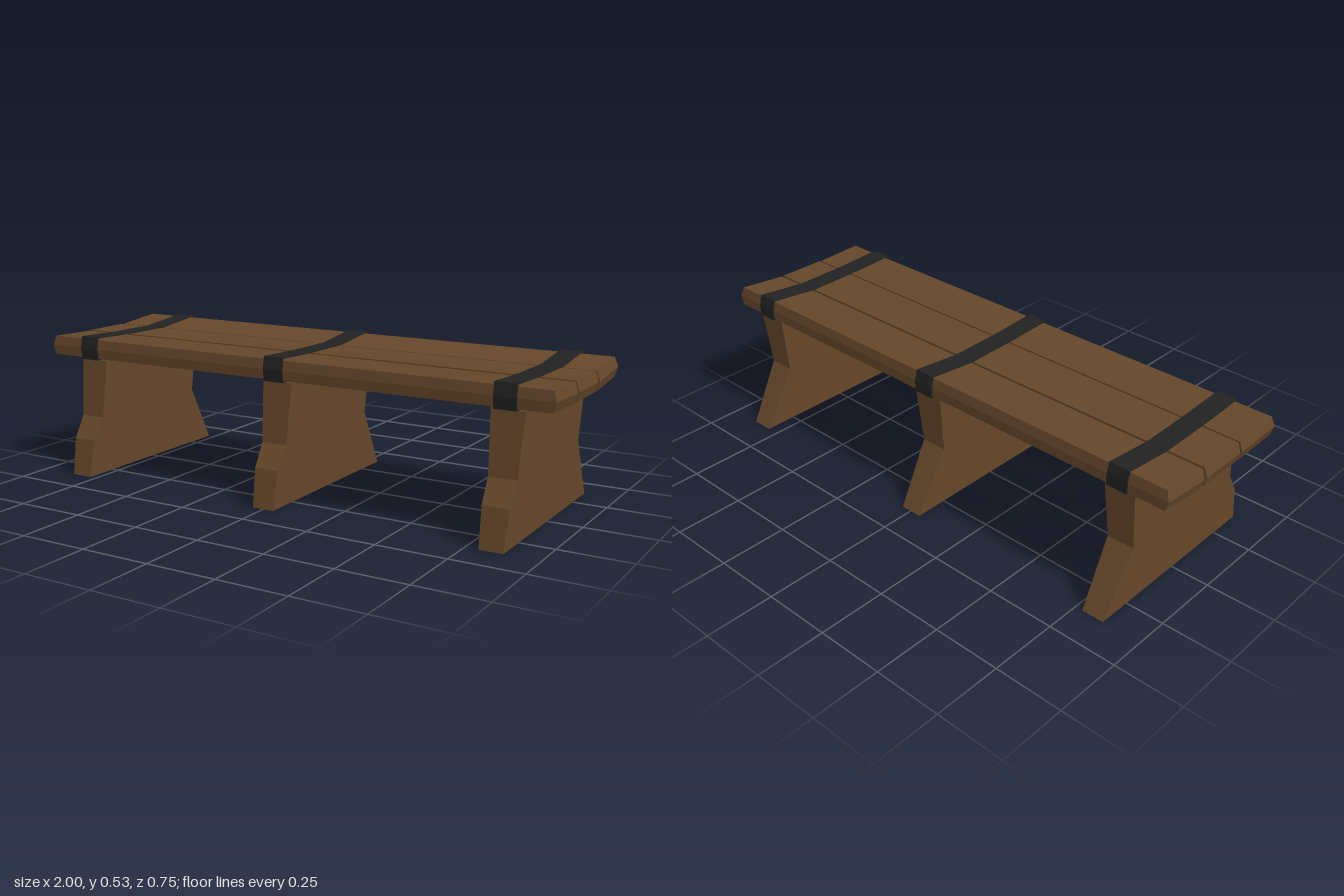
import * as THREE from 'three';

const wood = new THREE.MeshStandardMaterial({ color: 0x65472a, flatShading: true });
const iron = new THREE.MeshStandardMaterial({ color: 0x222222, flatShading: true });

// Extrude a (z, y) profile along x, centred on x = 0
function extrudeAlongX(points, width, hole) {
  const toV = (p) => new THREE.Vector2(p[0], p[1]);
  const shape = new THREE.Shape(points.map(toV));
  if (hole) shape.holes.push(new THREE.Path(hole.map(toV)));
  const geo = new THREE.ExtrudeGeometry(shape, { depth: width, bevelEnabled: false });
  geo.translate(0, 0, -width / 2);
  geo.rotateY(-Math.PI / 2);
  return geo;
}

// Seat board whose ends and outer long edge bulge at mid height
function plankGeometry(depth, outer) {
  const geo = new THREE.BoxGeometry(1.978, 0.07, depth, 1, 2, 1);
  const p = geo.attributes.position;
  for (let i = 0; i < p.count; i++) {
    if (Math.abs(p.getY(i)) > 0.001) continue;
    p.setX(i, p.getX(i) + 0.011 * Math.sign(p.getX(i)));
    if (p.getZ(i) * outer > 0) p.setZ(i, p.getZ(i) + 0.004 * outer);
  }
  geo.computeVertexNormals();
  return geo;
}

// Slab leg, wider at the top than at the foot
function legGeometry() {
  const geo = extrudeAlongX([
    [0.375, 0], [0.35, 0.135], [0.3, 0.215], [0.277, 0.428], [0, 0.424],
    [-0.09, 0.431], [-0.275, 0.449], [-0.25, 0.225], [-0.373, 0],
  ], 1);
  const p = geo.attributes.position;
  for (let i = 0; i < p.count; i++) {
    p.setX(i, p.getX(i) * (0.082 + 0.033 * p.getY(i) / 0.44));
  }
  geo.computeVertexNormals();
  return geo;
}

// Thin metal strap wrapped around the three boards
function strapGeometry() {
  const outer = [
    [0.303, 0.431], [0.309, 0.474], [0.301, 0.517], [0.105, 0.509], [-0.092, 0.507],
    [-0.286, 0.528], [-0.295, 0.489], [-0.295, 0.449], [-0.09, 0.43], [0, 0.426],
  ];
  const inner = [
    [0.298, 0.434], [0.303, 0.474], [0.296, 0.513], [0.105, 0.506], [-0.092, 0.504],
    [-0.281, 0.524], [-0.289, 0.489], [-0.289, 0.452], [-0.09, 0.433], [0, 0.429],
  ];
  return extrudeAlongX(outer, 0.076, inner);
}

export function createModel() {
  const group = new THREE.Group();
  const add = (name, geo, material, x, y, z, tilt = 0) => {
    const mesh = new THREE.Mesh(geo, material);
    mesh.name = name;
    mesh.position.set(x, y, z);
    mesh.rotation.x = tilt;
    group.add(mesh);
  };

  // Seat boards
  add('frontPlank', plankGeometry(0.187, 1), wood, 0, 0.469, 0.204, -0.032);
  add('middlePlank', plankGeometry(0.186, 0), wood, 0, 0.468, 0.007);
  add('backPlank', plankGeometry(0.186, -1), wood, 0, 0.4765, -0.191, 0.098);

  // Three legs, each with a strap above it
  const leg = legGeometry();
  const strap = strapGeometry();
  for (const x of [-0.818, -0.002, 0.837]) {
    add('leg', leg, wood, x, 0, 0);
    add('strap', strap, iron, x, 0, 0);
  }
  return group;
}
